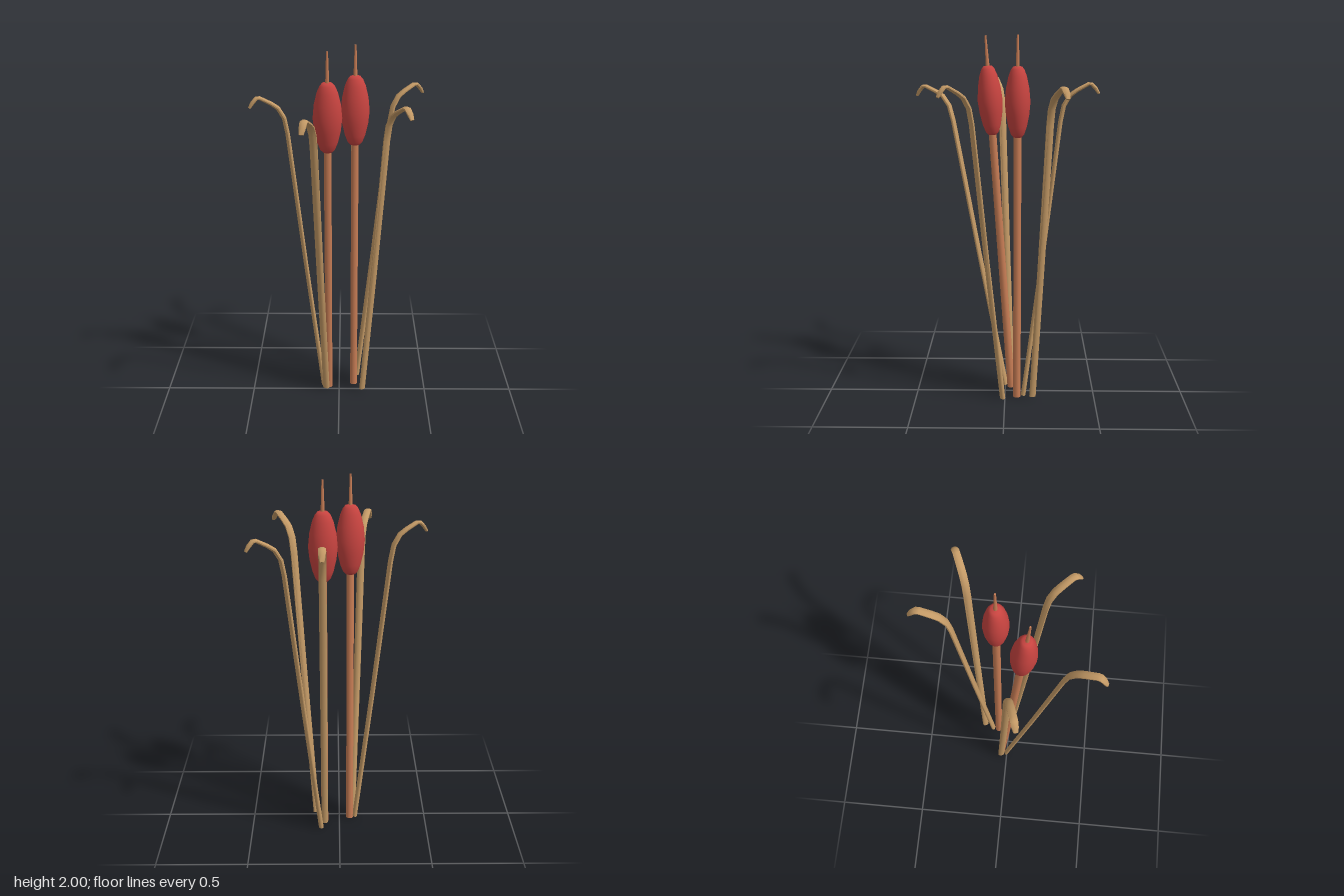
import * as THREE from 'three';
import { toCreasedNormals } from 'three/addons/utils/BufferGeometryUtils.js';

const stemMat = new THREE.MeshStandardMaterial({ color: 0xc87d55 });
const headMat = new THREE.MeshStandardMaterial({ color: 0xc84440 });
const leafMat = new THREE.MeshStandardMaterial({ color: 0xc49a66 });

// Centre line of a leaf: distance outward, height, half width, half thickness
const LEAF = [
  [0, 0.01, 0.019, 0.013],
  [0.1, 0.8, 0.02, 0.012],
  [0.19, 1.55, 0.021, 0.012],
  [0.207, 1.635, 0.021, 0.012],
  [0.24, 1.69, 0.021, 0.012],
  [0.275, 1.715, 0.021, 0.011],
  [0.335, 1.748, 0.02, 0.01],
  [0.352, 1.747, 0.02, 0.01],
  [0.375, 1.722, 0.018, 0.01],
  [0.39, 1.698, 0.012, 0.007],
];

// Sweeps an oval section along the leaf line and caps both ends
function leafGeometry(sides = 10) {
  const pos = [], index = [], n = LEAF.length;
  LEAF.forEach(([r, y, w, t], i) => {
    const a = LEAF[Math.max(i - 1, 0)], b = LEAF[Math.min(i + 1, n - 1)];
    const dir = new THREE.Vector2(b[0] - a[0], b[1] - a[1]).normalize();
    for (let j = 0; j < sides; j++) {
      const ang = (j / sides) * Math.PI * 2;
      const c = Math.cos(ang) * t;
      pos.push(r - dir.y * c, y + dir.x * c, Math.sin(ang) * w);
    }
  });
  for (let i = 0; i < n - 1; i++) {
    for (let j = 0; j < sides; j++) {
      const k = (j + 1) % sides, p = i * sides, q = p + sides;
      index.push(p + j, p + k, q + k, p + j, q + k, q + j);
    }
  }
  const end = (n - 1) * sides;
  for (let j = 1; j < sides - 1; j++) {
    index.push(0, j + 1, j, end, end + j, end + j + 1);
  }
  const geo = new THREE.BufferGeometry();
  geo.setAttribute('position', new THREE.Float32BufferAttribute(pos, 3));
  geo.setIndex(index);
  return toCreasedNormals(geo, 0.9);
}

function addMesh(parent, name, geometry, material) {
  const mesh = new THREE.Mesh(geometry, material);
  mesh.name = name;
  parent.add(mesh);
  return mesh;
}

// Stem, seed head and spike, standing on the local origin
function makeStalk(headGeo) {
  const stalk = new THREE.Group();
  stalk.name = 'stalk';
  addMesh(stalk, 'stem', new THREE.CylinderGeometry(0.021, 0.021, 1.48, 10), stemMat).position.y = 0.74;
  addMesh(stalk, 'seedHead', headGeo, headMat);
  addMesh(stalk, 'spike', new THREE.CylinderGeometry(0.005, 0.011, 0.18, 8), stemMat).position.y = 1.91;
  return stalk;
}

export function createModel() {
  const model = new THREE.Group();
  model.name = 'reeds';

  // Seed head: a long oval with blunt ends, slightly flattened front to back
  const profile = [[0, 1.465], [0.026, 1.467], [0.04, 1.482], [0.055, 1.52], [0.07, 1.585], [0.077, 1.652],
    [0.07, 1.725], [0.055, 1.788], [0.04, 1.823], [0.026, 1.838], [0, 1.84]];
  const headGeo = new THREE.LatheGeometry(profile.map(([x, y]) => new THREE.Vector2(x, y)), 24);
  headGeo.scale(1, 1, 0.88);

  const straight = makeStalk(headGeo);
  straight.position.set(0.085, 0, -0.067);
  const leaning = makeStalk(headGeo);
  leaning.position.set(-0.06, 0, -0.033);
  leaning.rotation.x = 0.07;
  model.add(straight, leaning);

  // Leaves: parent, base x and z, outward direction x and z
  const leafGeo = leafGeometry();
  const leaves = [
    [model, -0.09, -0.035, -0.375, 0.115],
    [model, 0.085, -0.103, 0, -1],
    [model, 0.135, 0.012, 0.23, 0.325],
    [model, 0.105, -0.155, 0.357, -0.16],
    [leaning, -0.015, 0.03, -0.1, 0.37],
  ];
  for (const [parent, x, z, dx, dz] of leaves) {
    const leaf = addMesh(parent, 'leaf', leafGeo, leafMat);
    leaf.position.set(x, 0, z);
    leaf.rotation.y = Math.atan2(-dz, dx);
  }
  return model;
}
